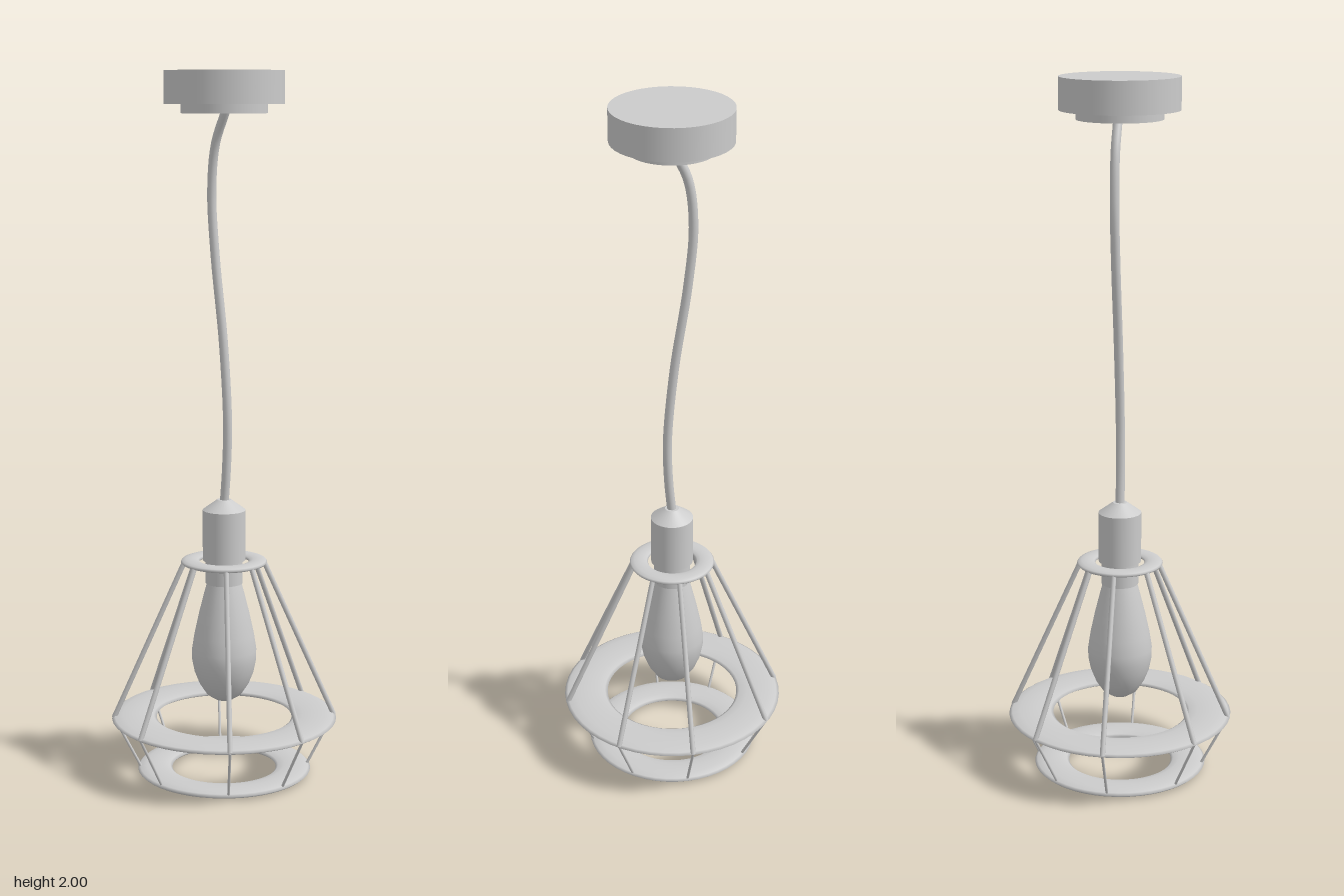
import * as THREE from 'three';

const grey = new THREE.MeshStandardMaterial({ color: 0xcccccc });
const v = (x, y, z) => new THREE.Vector3(x, y, z);

function add(parent, name, geometry, y = 0) {
  const mesh = new THREE.Mesh(geometry, grey);
  mesh.name = name;
  mesh.position.y = y;
  parent.add(mesh);
  return mesh;
}

// Flat hoop with rounded edges: a torus squashed in height
function hoop(parent, name, outer, inner, y, halfHeight) {
  const tube = (outer - inner) / 2;
  const geometry = new THREE.TorusGeometry(inner + tube, tube, 12, 48);
  geometry.rotateX(Math.PI / 2);
  geometry.scale(1, halfHeight / tube, 1);
  add(parent, name, geometry, y);
}

// Straight round wire between two points
function rod(parent, name, a, b, radius) {
  const mesh = add(parent, name, new THREE.CylinderGeometry(radius, radius, a.distanceTo(b), 10));
  mesh.position.copy(a).add(b).multiplyScalar(0.5);
  mesh.quaternion.setFromUnitVectors(v(0, 1, 0), b.clone().sub(a).normalize());
}

export function createModel() {
  const lamp = new THREE.Group();
  lamp.name = 'pendantLamp';

  // Ceiling canopy
  add(lamp, 'canopy', new THREE.CylinderGeometry(0.166, 0.166, 0.09, 40), 1.955);
  add(lamp, 'canopyBase', new THREE.CylinderGeometry(0.12, 0.12, 0.03, 40), 1.9);

  // Gently swaying cord
  const path = new THREE.CatmullRomCurve3([
    v(0.005, 1.89, 0), v(0.006, 1.8, -0.042), v(0.006, 1.67, -0.057), v(0.005, 1.5, -0.043),
    v(0.003, 1.25, -0.006), v(0.001, 1.03, 0.013), v(0, 0.9, 0.01), v(0, 0.79, 0),
  ]);
  add(lamp, 'cord', new THREE.TubeGeometry(path, 48, 0.013, 12));

  // Socket with tapered cap
  add(lamp, 'socketCap', new THREE.CylinderGeometry(0.02, 0.061, 0.03, 32), 0.79);
  add(lamp, 'socket', new THREE.CylinderGeometry(0.061, 0.061, 0.145, 32), 0.7025);
  add(lamp, 'socketCollar', new THREE.CylinderGeometry(0.053, 0.053, 0.07, 32), 0.597);

  // Teardrop bulb
  const bulb = [
    [0, 0.212], [0.025, 0.217], [0.05, 0.233], [0.071, 0.265], [0.085, 0.3], [0.092, 0.335],
    [0.093, 0.365], [0.086, 0.41], [0.073, 0.47], [0.058, 0.53], [0.047, 0.57],
  ].map(([r, y]) => new THREE.Vector2(r, y));
  add(lamp, 'bulb', new THREE.LatheGeometry(bulb, 28));

  // Wire cage hoops
  const cage = new THREE.Group();
  cage.name = 'cage';
  lamp.add(cage);
  hoop(cage, 'topHoop', 0.123, 0.07, 0.625, 0.009);
  hoop(cage, 'middleHoop', 0.324, 0.195, 0.165, 0.011);
  hoop(cage, 'bottomHoop', 0.25, 0.15, 0.012, 0.012);

  // Eight pairs of wires, the diagonal ones turned slightly off 45 degrees
  for (let i = 0; i < 8; i++) {
    const angle = THREE.MathUtils.degToRad(i * 45 + (i % 2 ? 5 : 0));
    const at = (r, y) => v(r * Math.cos(angle), y, -r * Math.sin(angle));
    rod(cage, 'upperWire', at(0.113, 0.625), at(0.318, 0.165), 0.0075);
    rod(cage, 'lowerWire', at(0.318, 0.165), at(0.24, 0.014), 0.004);
  }
  return lamp;
}
